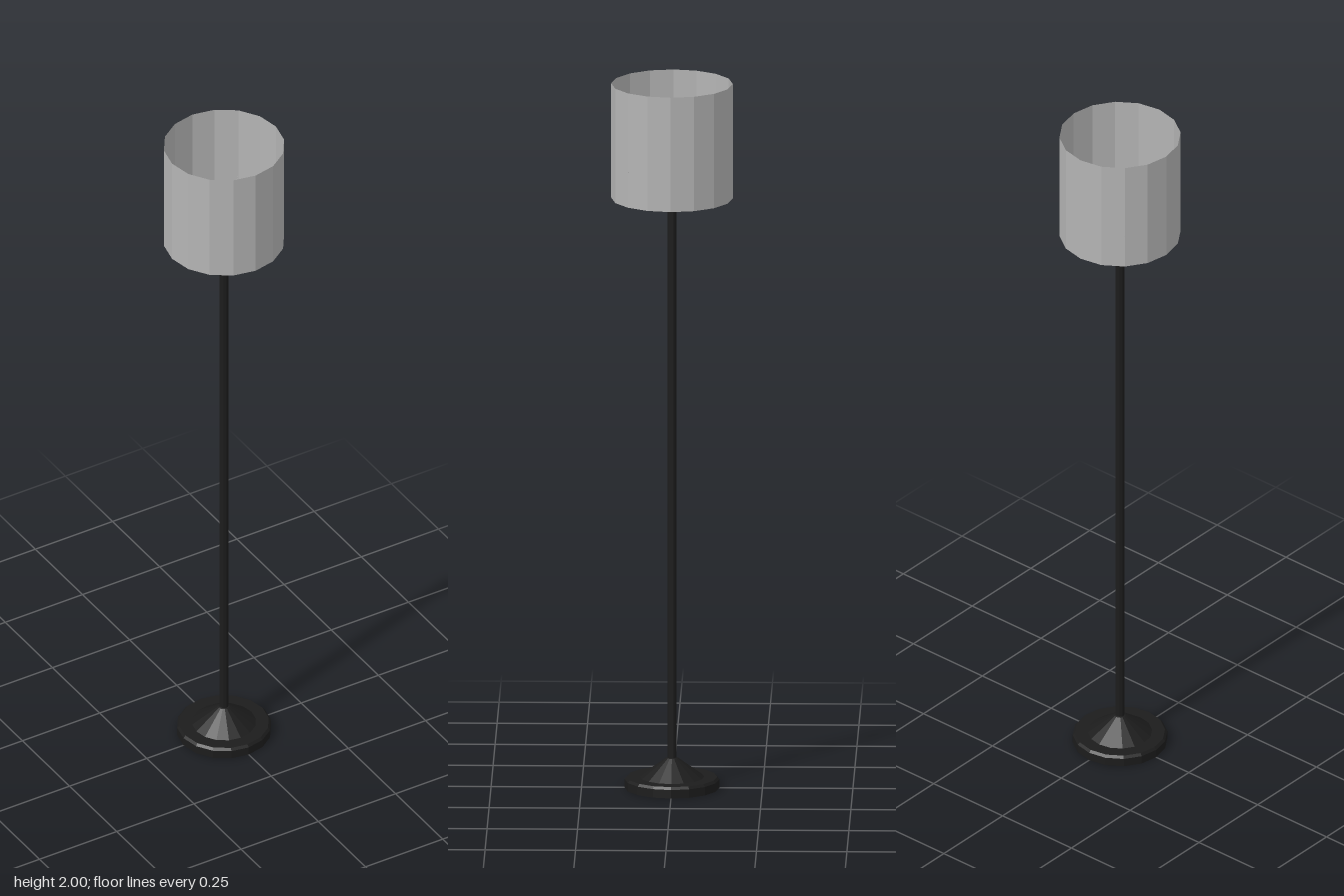
import * as THREE from 'three';

const SIDES = 16;

function material(color, side = THREE.FrontSide) {
  return new THREE.MeshStandardMaterial({ color, flatShading: true, side });
}

export function createModel() {
  const lamp = new THREE.Group();
  lamp.name = 'floorLamp';
  const black = material(0x1c1c1c);
  const grey = material(0xb4b4b4, THREE.DoubleSide);
  const cream = material(0xf2ead0);

  function add(name, geometry, mat, y = 0) {
    const mesh = new THREE.Mesh(geometry, mat);
    mesh.name = name;
    mesh.position.y = y;
    lamp.add(mesh);
    return mesh;
  }
  const lathe = (points, sides) =>
    new THREE.LatheGeometry(points.map(([r, y]) => new THREE.Vector2(r, y)), sides);

  // Round foot with bevelled rim and a cone rising to the pole
  add('base', lathe([
    [0, 0], [0.131, 0], [0.131, 0.024], [0.125, 0.031],
    [0.089, 0.031], [0.016, 0.085], [0, 0.09],
  ], SIDES), black);

  // Pole
  add('pole', new THREE.CylinderGeometry(0.0125, 0.0125, 1.63, 10), black, 0.885);

  // Flared bulb socket
  add('socket', lathe([
    [0, 1.69], [0.02, 1.69], [0.02, 1.72], [0.032, 1.765], [0.032, 1.78], [0, 1.78],
  ], 12), black);

  // Bulb, rounded on top and narrowing into the socket
  add('bulb', lathe([
    [0.016, 1.775], [0.022, 1.795], [0.028, 1.82], [0.0285, 1.835],
    [0.025, 1.85], [0.015, 1.861], [0, 1.865],
  ], 12), cream);

  // Open drum shade
  add('shade', new THREE.CylinderGeometry(0.168, 0.168, 0.325, SIDES, 1, true), grey, 1.8375);

  // Four thin wires holding the shade to the socket
  for (let i = 0; i < 4; i++) {
    const wire = new THREE.CylinderGeometry(0.001, 0.001, 0.14, 4);
    wire.rotateZ(Math.PI / 2).translate(0.098, 0, 0);
    add('shadeWire', wire, grey, 1.775).rotation.y = Math.PI / 4 + i * Math.PI / 2;
  }
  return lamp;
}
